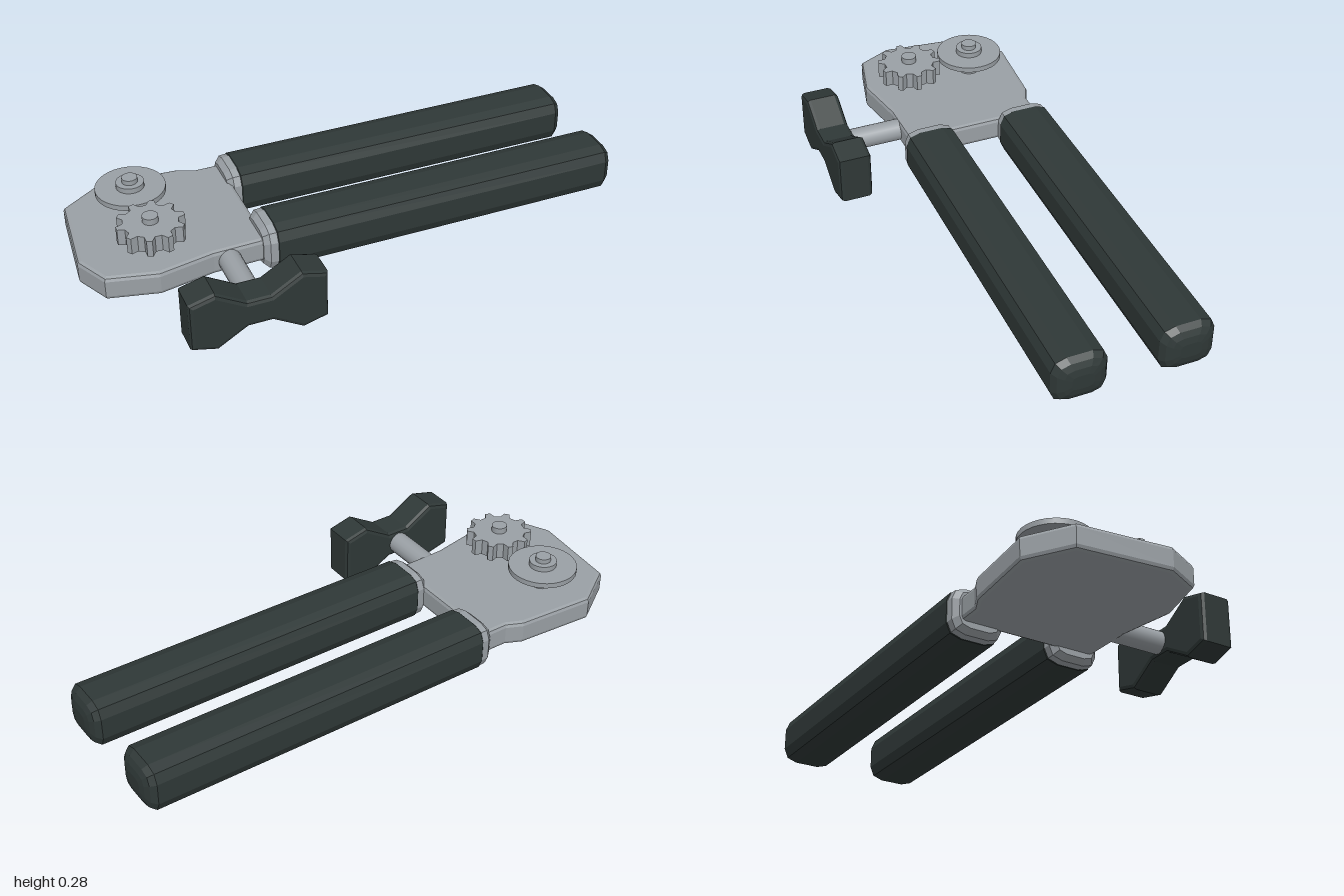
import * as THREE from 'three';

const metal = new THREE.MeshStandardMaterial({ color: 0x9aa0a5, flatShading: true });
metal.name = 'brushed steel';
const rubber = new THREE.MeshStandardMaterial({ color: 0x2f3837, flatShading: true });
rubber.name = 'dark rubber';

function addMesh(parent, name, geometry, material) {
  const mesh = new THREE.Mesh(geometry, material);
  mesh.name = name;
  parent.add(mesh);
  return mesh;
}

// Extruded outline with bevels kept inside the given outline and thickness
function slab(points, thickness, bevel, segments = 1) {
  const shape = new THREE.Shape(points.map(([x, y]) => new THREE.Vector2(x, y)));
  const geometry = new THREE.ExtrudeGeometry(shape, {
    depth: thickness - 2 * bevel, bevelEnabled: bevel > 0, bevelSize: bevel,
    bevelThickness: bevel, bevelOffset: -bevel, bevelSegments: segments,
  });
  return geometry.translate(0, 0, bevel);
}

// Upright disc between two heights
function disc(parent, name, x, z, radius, y0, y1) {
  const geometry = new THREE.CylinderGeometry(radius, radius, y1 - y0, 32);
  addMesh(parent, name, geometry.translate(x, (y0 + y1) / 2, z), discMetal);
}
const discMetal = new THREE.MeshStandardMaterial({ color: 0x9aa0a5 });
discMetal.name = 'smooth steel';

// Chamfered cross-section lofted along x through [x, inset] stations
function loft(stations, zCentre) {
  const quarter = [[0.098, 0.04], [0.083, 0.075], [0.045, 0.0875]];
  const ring = [
    ...quarter,
    ...quarter.map(([z, y]) => [-z, y]).reverse(),
    ...quarter.map(([z, y]) => [-z, -y]),
    ...quarter.map(([z, y]) => [z, -y]).reverse(),
  ];
  const n = ring.length, positions = [], index = [];
  for (const [x, inset] of stations) {
    for (const [z, y] of ring) {
      positions.push(x, 0.1135 + y * (1 - inset / 0.0875), zCentre + z * (1 - inset / 0.098));
    }
  }
  for (let s = 0; s < stations.length - 1; s++) {
    for (let i = 0; i < n; i++) {
      const a = s * n + i, b = s * n + (i + 1) % n;
      index.push(a, b, a + n, b, b + n, a + n);
    }
  }
  // End caps
  const last = (stations.length - 1) * n;
  for (let i = 1; i < n - 1; i++) {
    index.push(0, i + 1, i, last, last + i, last + i + 1);
  }
  // Orient the faces outward
  for (let i = 0; i < index.length; i += 3) {
    const [a, b, c] = index.slice(i, i + 3).map((k) => new THREE.Vector3().fromArray(positions, k * 3));
    const centre = a.clone().add(b).add(c).divideScalar(3);
    const mid = new THREE.Vector3((stations[0][0] + stations.at(-1)[0]) / 2, 0.1135, zCentre);
    const normal = b.clone().sub(a).cross(c.clone().sub(a));
    if (normal.dot(centre.sub(mid)) < 0) [index[i + 1], index[i + 2]] = [index[i + 2], index[i + 1]];
  }
  const geometry = new THREE.BufferGeometry();
  geometry.setAttribute('position', new THREE.Float32BufferAttribute(positions, 3));
  geometry.setIndex(index);
  geometry.computeVertexNormals();
  return geometry;
}

export function createModel() {
  const model = new THREE.Group();
  model.name = 'canOpener';

  // Head plate, outlined as [x, -z]
  const plate = slab([
    [-1, 0], [-0.94, -0.125], [-0.76, -0.168], [-0.56, -0.13], [-0.36, -0.125],
    [-0.36, 0.39], [-0.46, 0.39], [-0.52, 0.417], [-0.81, 0.437], [-0.965, 0.335],
  ], 0.09, 0.015, 2);
  plate.rotateX(-Math.PI / 2).translate(0, 0.07, 0);
  addMesh(model, 'headPlate', plate, metal);

  // Two grips with metal collars
  for (const [side, z] of [['back', -0.323], ['front', 0.055]]) {
    addMesh(model, side + 'Collar', loft([[-0.38, 0.022], [-0.36, 0.004], [-0.33, 0.002]], z), metal);
    addMesh(model, side + 'Handle',
      loft([[-0.338, 0.006], [-0.33, 0], [0.965, 0], [0.985, 0.014], [0.995, 0.035], [1, 0.06]], z), rubber);
  }

  // Toothed feed wheel
  const gx = -0.735, gz = -0.006, teeth = 10, outline = [];
  for (let i = 0; i < teeth; i++) {
    [[-0.3, 0.096], [-0.13, 0.12], [0.13, 0.12], [0.3, 0.096]].forEach(([t, r]) => {
      const a = (i + t) / teeth * Math.PI * 2;
      outline.push([Math.cos(a) * r, Math.sin(a) * r]);
    });
  }
  const gear = slab(outline, 0.062, 0);
  gear.rotateX(-Math.PI / 2).translate(gx, 0.193, gz);
  addMesh(model, 'feedGear', gear, metal);
  disc(model, 'gearShaft', gx, gz, 0.042, 0.15, 0.195);
  disc(model, 'gearPin', gx, gz, 0.028, 0.25, 0.278);

  // Cutting wheel
  const cz = -0.258;
  disc(model, 'cutterShaft', gx, cz, 0.042, 0.15, 0.222);
  disc(model, 'cutterDisc', gx, cz, 0.125, 0.22, 0.24);
  disc(model, 'cutterHub', gx, cz, 0.05, 0.238, 0.26);
  disc(model, 'cutterPin', gx, cz, 0.028, 0.255, 0.278);

  // Turning key: shaft and bow-tie knob
  const shaft = new THREE.CylinderGeometry(0.041, 0.041, 0.24, 16);
  addMesh(model, 'keyShaft', shaft.rotateX(Math.PI / 2).translate(-0.503, 0.114, 0.21), discMetal);
  const upper = [[0.242, 0.09], [0.15, 0.114], [0.042, 0.05]];
  const bow = [
    ...upper, ...upper.map(([x, y]) => [-x, y]).reverse(),
    ...upper.map(([x, y]) => [-x, -y]), ...upper.map(([x, y]) => [x, -y]).reverse(),
  ];
  addMesh(model, 'keyKnob', slab(bow, 0.124, 0.015, 2).translate(-0.503, 0.114, 0.312), rubber);

  return model;
}
